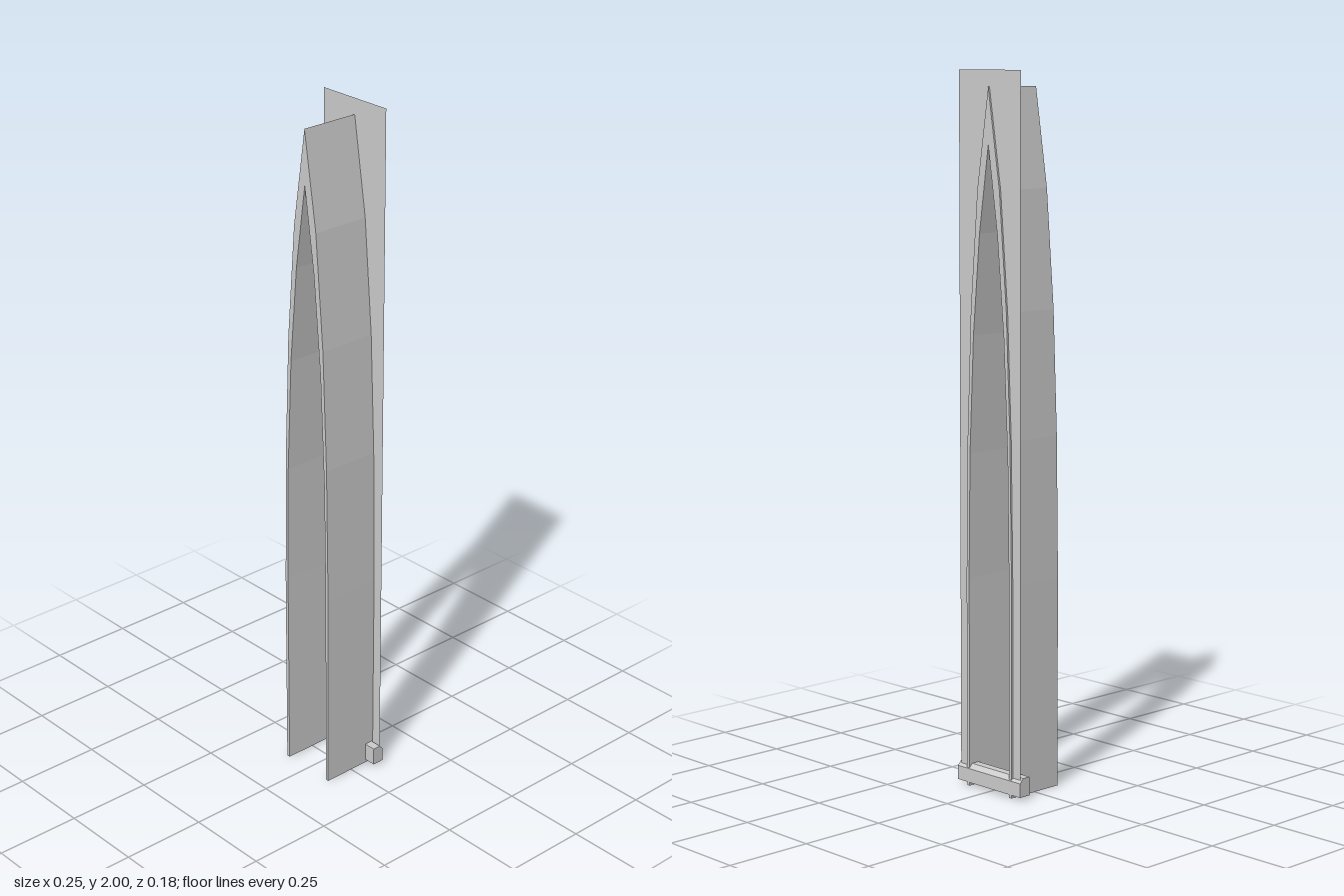
import * as THREE from 'three';

// Right half of each pointed arch, from foot to apex
const OUTER = [[0.09, 0], [0.09, 0.6], [0.084, 1.0], [0.07, 1.35], [0.043, 1.68], [0, 1.955]];
const INNER = [[0.08, 0], [0.08, 0.6], [0.075, 0.95], [0.06, 1.28], [0.035, 1.56], [0, 1.8]];

// Full arch line, running from the right foot over the apex to the left foot
function arch(half, foot = 0) {
  const right = half.map(([x, y]) => new THREE.Vector2(x, Math.max(y, foot)));
  const left = right.slice(0, -1).reverse().map((p) => new THREE.Vector2(-p.x, p.y));
  return [...right, ...left];
}

export function createModel() {
  const model = new THREE.Group();
  const stone = new THREE.MeshStandardMaterial({ color: 0xcccccc, flatShading: true, side: THREE.DoubleSide });
  stone.name = 'pale grey stone';

  const add = (name, geometry) => {
    const mesh = new THREE.Mesh(geometry, stone);
    mesh.name = name;
    model.add(mesh);
    return mesh;
  };

  // Deep pointed surround, open at the foot
  const ring = new THREE.Shape([...arch(OUTER), ...arch(INNER).reverse()]);
  add('archSurround', new THREE.ExtrudeGeometry(ring, { depth: 0.18, bevelEnabled: false }))
    .position.z = -0.09;

  // Thin wall panel with the arch cut out of it
  const wall = new THREE.Shape([
    new THREE.Vector2(0.12, 0.01), new THREE.Vector2(0.12, 2),
    new THREE.Vector2(-0.12, 2), new THREE.Vector2(-0.12, 0.01),
    ...arch(INNER, 0.01).reverse(),
  ]);
  add('wallPanel', new THREE.ShapeGeometry(wall)).position.z = -0.085;

  // Sill with a chamfered rear edge, drawn in section (-z, y) and run across x
  const section = new THREE.Shape(
    [[0.056, 0.01], [0.092, 0.01], [0.092, 0.05], [0.08, 0.063], [0.056, 0.063]]
      .map(([z, y]) => new THREE.Vector2(z, y)));
  const sill = new THREE.ExtrudeGeometry(section, { depth: 0.252, bevelEnabled: false });
  sill.translate(0, 0, -0.126);
  sill.rotateY(Math.PI / 2);
  add('sill', sill);

  return model;
}
